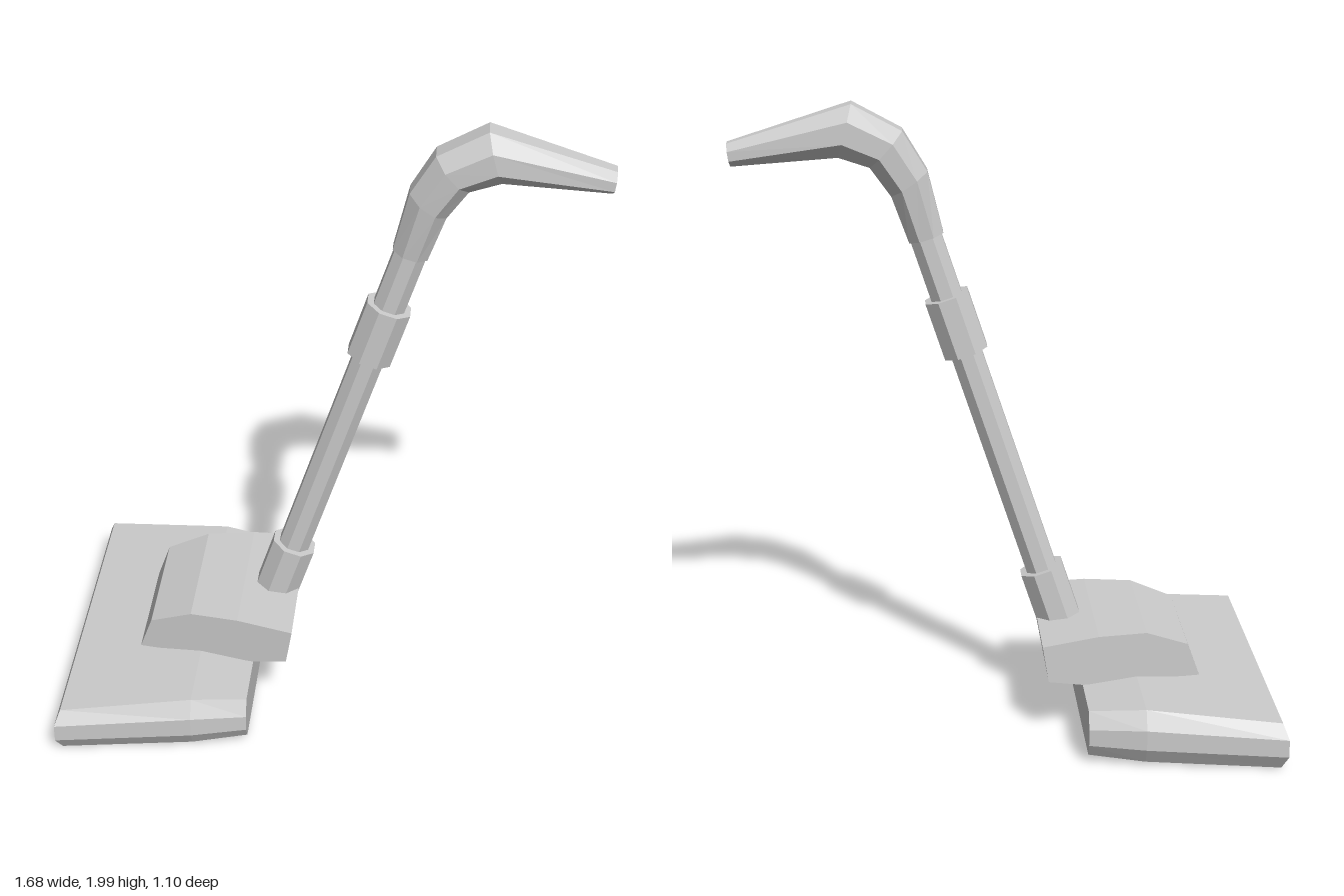
import * as THREE from 'three';

const material = new THREE.MeshStandardMaterial({ color: 0xcccccc, flatShading: true });

// Skins rings of [x, y, z] points (counter-clockwise about the travel direction) and caps both ends.
function loft(name, rings) {
  const pos = [];
  const quad = (a, b, c, d) => pos.push(...a, ...b, ...c, ...a, ...c, ...d);
  const n = rings[0].length;
  for (let i = 0; i < rings.length - 1; i++) {
    for (let j = 0; j < n; j++) {
      const k = (j + 1) % n;
      quad(rings[i][j], rings[i][k], rings[i + 1][k], rings[i + 1][j]);
    }
  }
  const first = rings[0], last = rings[rings.length - 1];
  for (let k = 0; k < n / 2 - 1; k++) {
    quad(first[n - 1 - k], first[n - 2 - k], first[k + 1], first[k]);
    quad(last[k], last[k + 1], last[n - 2 - k], last[n - 1 - k]);
  }
  const geometry = new THREE.BufferGeometry();
  geometry.setAttribute('position', new THREE.Float32BufferAttribute(pos, 3));
  geometry.computeVertexNormals();
  const mesh = new THREE.Mesh(geometry, material);
  mesh.name = name;
  return mesh;
}

// Wide floor head: bevelled eight-point sections running along x
function floorHead() {
  const stations = [
    // x at bevel, x at middle, bottom, lower side, upper side, top, flat half width, full half width
    [-0.828, -0.845, 0.005, 0.053, 0.11, 0.155, 0.52, 0.55],
    [-0.41, -0.41, 0.018, 0.07, 0.135, 0.193, 0.48, 0.51],
    [-0.235, -0.235, 0.03, 0.072, 0.125, 0.178, 0.445, 0.47],
  ];
  return loft('floorHead', stations.map(([xe, xm, bottom, low, high, top, flat, wide]) => {
    const side = [[xe, top, flat], [xm, high, wide], [xm, low, wide], [xe, bottom, flat]];
    const other = side.map(([x, y, z]) => [x, y, -z]).reverse();
    return [...side, ...other];
  }));
}

// Motor housing: side profile that widens towards +x
function motorHousing() {
  const profile = [
    [-0.615, 0.18], [-0.42, 0.18], [-0.235, 0.18], [-0.125, 0.2],
    [-0.105, 0.32], [-0.285, 0.34], [-0.44, 0.34], [-0.575, 0.29],
  ];
  const ring = (s) => profile.map(([x, y]) => [x, y, s * (0.2 + (x + 0.615) * 0.147)]);
  return loft('motorHousing', [ring(-1), ring(1)]);
}

// Octagonal cylinder along the leaning pole axis, between two heights
function poleSection(name, y0, y1, radius) {
  const at = (y) => new THREE.Vector3(-0.12 + 0.33 * (y - 0.487), y, 0);
  const a = at(y0), b = at(y1);
  const geometry = new THREE.CylinderGeometry(radius, radius, a.distanceTo(b), 8);
  geometry.rotateY(Math.PI / 8);
  const mesh = new THREE.Mesh(geometry, material);
  mesh.name = name;
  mesh.position.copy(a).add(b).multiplyScalar(0.5);
  mesh.rotation.z = -Math.atan(0.33);
  return mesh;
}

// Curved grip: octagons spanning the outer and inner edge of the bend
function grip() {
  const stations = [
    // outer x, y, inner x, y, half width
    [0.188, 1.598, 0.293, 1.566, 0.056],
    [0.235, 1.79, 0.346, 1.714, 0.076],
    [0.31, 1.915, 0.41, 1.804, 0.086],
    [0.463, 1.998, 0.505, 1.836, 0.088],
    [0.84, 1.88, 0.83, 1.81, 0.053],
  ];
  return loft('grip', stations.map(([ox, oy, ix, iy, w]) =>
    Array.from({ length: 8 }, (_, j) => {
      const angle = (j + 0.5) * Math.PI / 4;
      const c = Math.cos(angle) / Math.cos(Math.PI / 8) / 2;
      const s = Math.sin(angle) / Math.cos(Math.PI / 8);
      return [(ox + ix) / 2 + (ox - ix) * c, (oy + iy) / 2 + (oy - iy) * c, w * s];
    })));
}

export function createModel() {
  const model = new THREE.Group();
  model.name = 'uprightVacuum';
  model.add(
    floorHead(),
    motorHousing(),
    poleSection('lowerCollar', 0.31, 0.487, 0.075),
    poleSection('pole', 0.4, 1.62, 0.053),
    poleSection('middleSleeve', 1.214, 1.395, 0.075),
    grip(),
  );
  return model;
}
